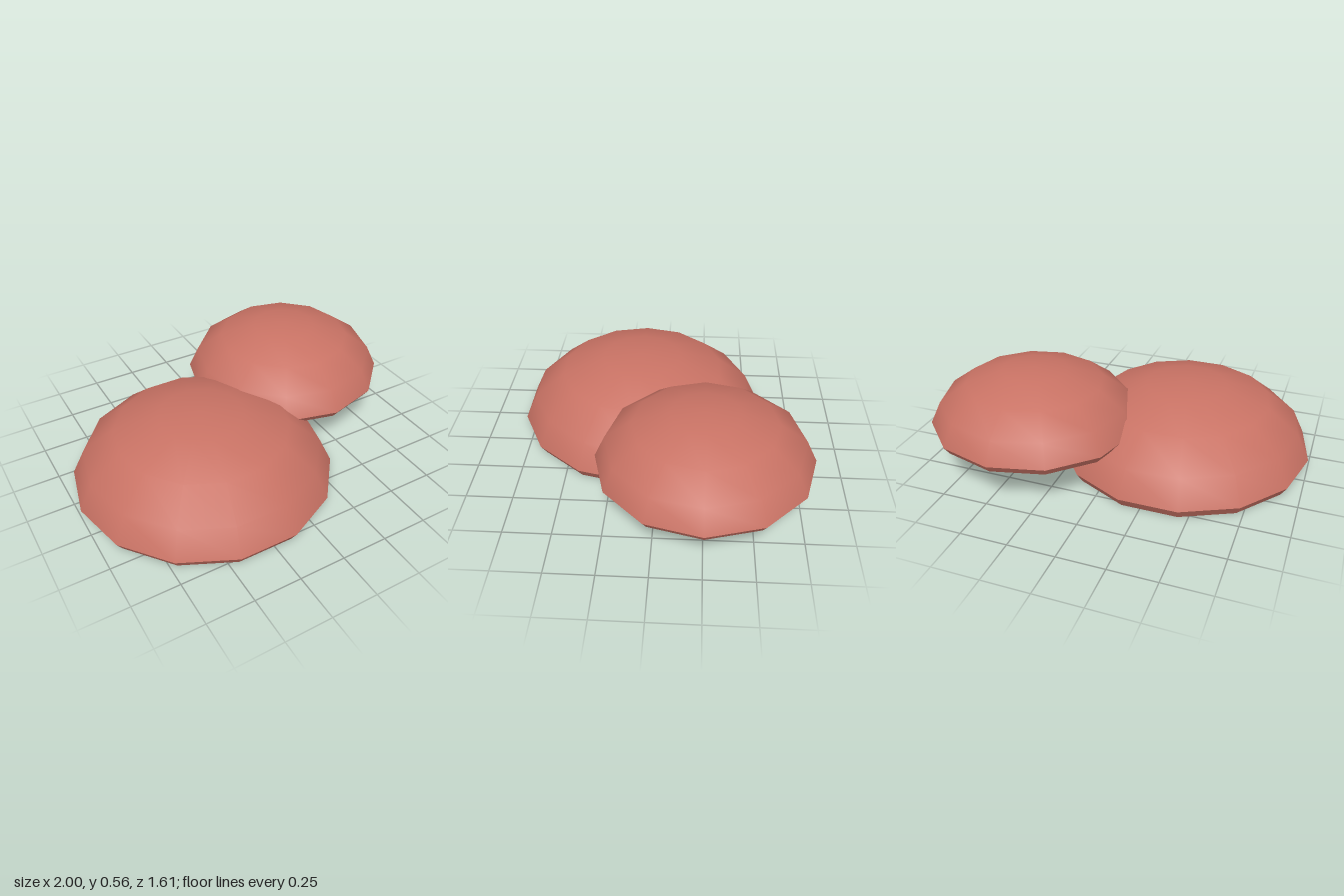
import * as THREE from 'three';
import { toCreasedNormals } from 'three/addons/utils/BufferGeometryUtils.js';

const clay = new THREE.MeshStandardMaterial({ color: 0xc87264 });
clay.name = 'clay red';

// Closed dome: flat base, undercut rim, smooth crown; a corner points along +x
function dome(name, sides, profile) {
  const points = profile.map(([r, y]) => new THREE.Vector2(r, y));
  const lathe = new THREE.LatheGeometry(points, sides, Math.PI / 2);
  const mesh = new THREE.Mesh(toCreasedNormals(lathe, 0.7), clay);
  mesh.name = name;
  return mesh;
}

export function createModel() {
  const group = new THREE.Group();
  group.name = 'shelfCaps';

  // Large lower cap, resting on the ground
  const lower = dome('lowerCap', 14, [
    [0, 0], [0.665, 0], [0.7, 0.055], [0.63, 0.2], [0.462, 0.333], [0.225, 0.408], [0, 0.425],
  ]);
  lower.position.set(-0.3, 0, 0.12);

  // Smaller upper cap, slightly tilted and sunk into the lower one
  const upper = dome('upperCap', 12, [
    [0, 0], [0.53, 0], [0.56, 0.042], [0.505, 0.159], [0.367, 0.26], [0.175, 0.321], [0, 0.335],
  ]);
  upper.position.set(0.44, 0.225, -0.25);
  upper.rotation.set(0.012, 0, 0.013);

  group.add(lower, upper);
  return group;
}
